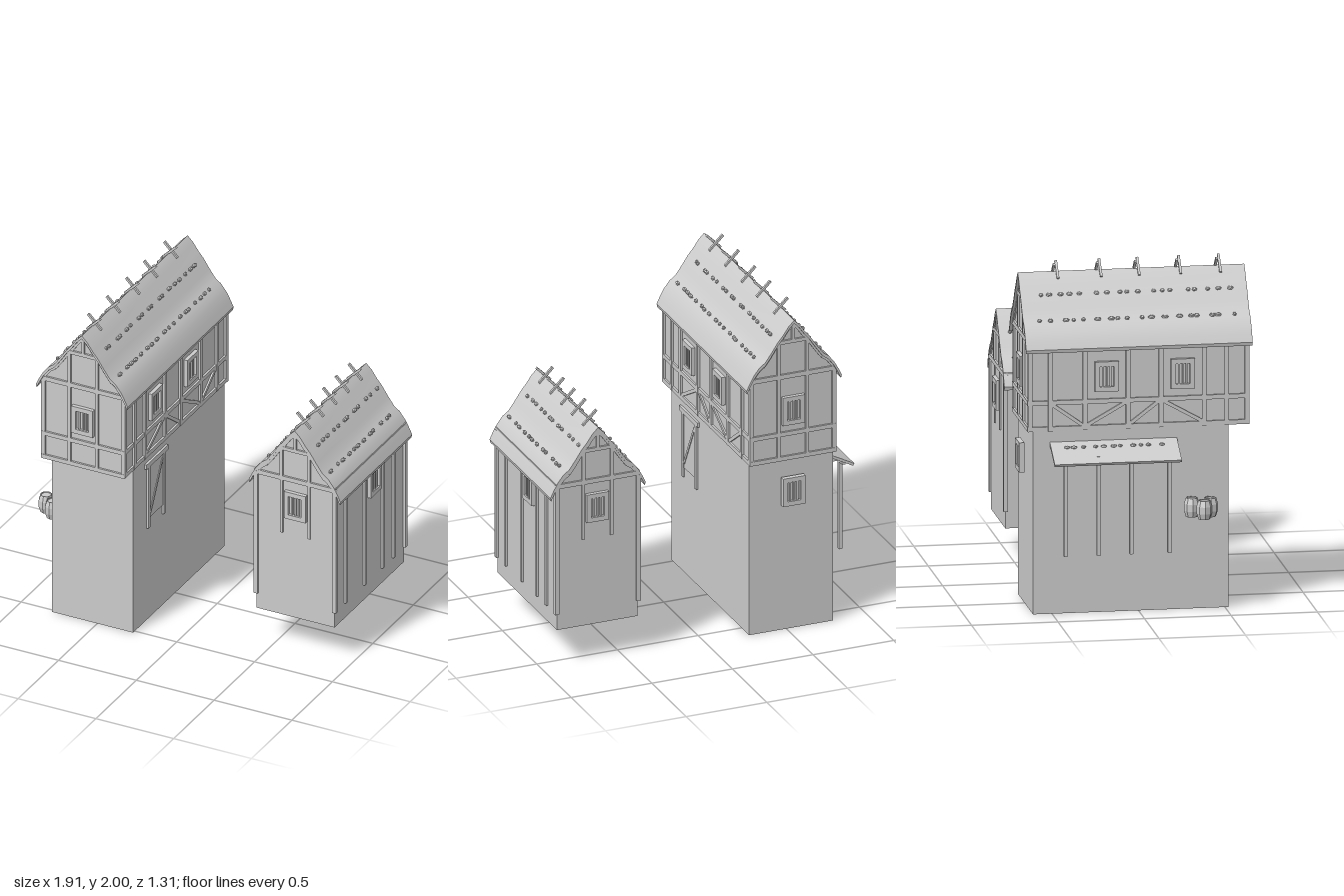
import * as THREE from 'three';
import { toCreasedNormals } from 'three/addons/utils/BufferGeometryUtils.js';

const mat = new THREE.MeshStandardMaterial({ color: 0xcccccc, side: THREE.DoubleSide });
const flat = new THREE.MeshStandardMaterial({ color: 0xcccccc, flatShading: true });

// Roof half profile: distance from the ridge, drop below the ridge
const PROFILE = [[0, 0], [0.035, 0.035], [0.07, 0.085], [0.1, 0.12], [0.14, 0.18],
  [0.18, 0.235], [0.215, 0.26], [0.25, 0.305], [0.275, 0.35], [0.295, 0.392]];

function dropAt(d) {
  const i = Math.max(1, PROFILE.findIndex(p => p[0] >= d));
  const [a, b] = [PROFILE[i - 1], PROFILE[i]];
  return a[1] + (b[1] - a[1]) * (d - a[0]) / (b[0] - a[0]);
}

let seed = 7;
const rnd = () => (seed = (seed * 16807) % 2147483647) / 2147483647;

function add(parent, name, geo, x = 0, y = 0, z = 0, m = mat) {
  const mesh = new THREE.Mesh(geo, m);
  mesh.name = name;
  mesh.position.set(x, y, z);
  parent.add(mesh);
  return mesh;
}

function box(parent, name, w, h, d, x, y, z) {
  return add(parent, name, new THREE.BoxGeometry(w, h, d), x, y, z);
}

function group(parent, name, x = 0, y = 0, z = 0) {
  const g = new THREE.Group();
  g.name = name;
  g.position.set(x, y, z);
  parent.add(g);
  return g;
}

// Straight timber between two points
function timber(parent, name, a, b, w, d = w) {
  const p = new THREE.Vector3(...a), q = new THREE.Vector3(...b);
  const mesh = box(parent, name, w, p.distanceTo(q), d, 0, 0, 0);
  mesh.position.copy(p).lerp(q, 0.5);
  mesh.quaternion.setFromUnitVectors(new THREE.Vector3(0, 1, 0), q.sub(p).normalize());
  return mesh;
}

// Framed window with bars, facing +z before turning
function barredWindow(parent, x, y, z, turn) {
  const g = group(parent, 'window', x, y, z);
  g.rotation.y = turn;
  for (const s of [-1, 1]) {
    box(g, 'windowJamb', 0.028, 0.175, 0.03, s * 0.055, 0, 0.008);
    box(g, 'windowRail', 0.082, 0.028, 0.03, 0, s * 0.0735, 0.008);
  }
  box(g, 'windowPane', 0.082, 0.12, 0.01, 0, 0, 0);
  for (const bx of [-0.022, 0.002, 0.022]) box(g, 'windowBar', 0.01, 0.12, 0.012, bx, 0, 0.01);
}

// Squashed stones scattered along a row
function stoneRow(parent, x, y, z0, z1, count, tilt) {
  for (let i = 0; i < count; i++) {
    const s = add(parent, 'roofStone', new THREE.IcosahedronGeometry(0.015, 0), x + (rnd() - 0.5) * 0.006,
      y, z0 + (z1 - z0) * (i + 0.15 + rnd() * 0.7) / count, flat);
    s.scale.set(0.8, 0.6 + rnd() * 0.2, 0.8 + rnd() * 0.8);
    s.rotation.z = tilt;
  }
}

// Wavy roof with stones and crossed ridge sticks
function roof(parent, peak, half, sticks) {
  const g = group(parent, 'roof');
  const left = PROFILE.slice(1).reverse().map(([d, h]) => [-d, peak - h]);
  const top = [...left, ...PROFILE.map(([d, h]) => [d, peak - h])];
  const under = top.map(([x, y]) => [x * 0.985, y - 0.02]).reverse();
  const shape = new THREE.Shape([...top, ...under].map(p => new THREE.Vector2(...p)));
  const geo = new THREE.ExtrudeGeometry(shape, { depth: half * 2, bevelEnabled: false });
  add(g, 'roofCover', toCreasedNormals(geo, 0.35), 0, 0, -half);
  for (const s of [-1, 1]) {
    for (const d of [0.1, 0.2]) {
      stoneRow(g, s * d, peak - dropAt(d) + 0.006, -half * 0.9, half * 0.9, Math.round(half * 28), -s * 0.85);
    }
    for (const z of sticks) {
      timber(g, 'ridgeStick', [s * 0.045, peak + 0.05, z + s * 0.012],
        [-s * 0.04, peak - 0.035, z + s * 0.012], 0.014);
    }
  }
}

// Gable wall outline from a bottom height up to the underside of the roof
function gableShape(half, bottom, peak) {
  const pts = [[half, bottom], [half, peak - dropAt(half) - 0.012]];
  const inner = PROFILE.filter(p => p[0] < half - 0.005);
  inner.slice().reverse().forEach(([d, h]) => pts.push([d, peak - h - 0.012]));
  inner.slice(1).forEach(([d, h]) => pts.push([-d, peak - h - 0.012]));
  pts.push([-half, peak - dropAt(half) - 0.012], [-half, bottom]);
  return new THREE.Shape(pts.map(p => new THREE.Vector2(...p)));
}

// Timbers in a gable above the tie beam
function gableTimbers(g, peak, tie, half, z) {
  box(g, 'tieBeam', half * 2, 0.028, 0.024, 0, tie, z);
  box(g, 'collarBeam', 0.19, 0.022, 0.024, 0, peak - 0.135, z);
  box(g, 'kingPost', 0.018, 0.12, 0.024, 0, peak - 0.08, z);
  for (const s of [-1, 1]) {
    const topY = peak - dropAt(0.088) - 0.02;
    box(g, 'gableStud', 0.02, topY - tie, 0.024, s * 0.088, (topY + tie) / 2, z);
    for (let i = 1; i < 8; i++) {
      const [a, b] = [PROFILE[i - 1], PROFILE[i]];
      timber(g, 'bargeBoard', [s * a[0], peak - a[1] - 0.028, z], [s * b[0], peak - b[1] - 0.028, z], 0.02);
    }
  }
}

// Plank door with a frame and a diagonal brace, on a wall facing along x
function door(parent, x, z) {
  const g = group(parent, 'door', x, 0, z);
  box(g, 'doorLintel', 0.024, 0.03, 0.27, 0, 1.015, 0);
  for (const s of [-1, 1]) box(g, 'doorPost', 0.02, 0.4, 0.026, 0, 0.8, s * 0.095);
  box(g, 'doorLeaf', 0.008, 0.34, 0.165, 0, 0.83, 0);
  timber(g, 'doorBrace', [0, 0.69, 0.075], [0, 0.97, -0.075], 0.016);
}

function tallHouse(root) {
  const g = group(root, 'tallHouse', -0.53);
  const peak = 1.945;
  // Hollow stone base, open below
  for (const s of [-1, 1]) {
    add(g, 'baseSideWall', new THREE.PlaneGeometry(1.13, 1.07), s * 0.26, 0.535, -0.045).rotation.y = s * Math.PI / 2;
    add(g, 'baseEndWall', new THREE.PlaneGeometry(0.52, 1.07), 0, 0.535, -0.045 + s * 0.565).rotation.y = s > 0 ? 0 : Math.PI;
  }
  // Overhanging timbered storey
  add(g, 'upperWalls', new THREE.ExtrudeGeometry(gableShape(0.256, 1.07, peak), { depth: 1.26, bevelEnabled: false }), 0, 0, -0.63);
  for (const s of [-1, 1]) {
    const z = s * 0.63, x = s * 0.256;
    gableTimbers(g, peak, 1.595, 0.265, z);
    for (const y of [1.083, 1.235]) {
      box(g, 'gableRail', 0.53, 0.026, 0.024, 0, y, z);
      box(g, 'sideRail', 0.024, 0.026, 1.27, x, y, 0);
    }
    box(g, 'wallPlate', 0.024, 0.026, 1.27, x, 1.585, 0);
    for (const px of [-0.088, 0.088]) box(g, 'gablePost', 0.02, 0.52, 0.024, px, 1.335, z);
    for (const pz of [0.627, 0.51, 0.38, 0.13, -0.06, -0.31, -0.51, -0.627]) {
      box(g, 'sidePost', 0.026, 0.52, 0.026, x, 1.33, pz);
    }
    for (const [a, b] of [[0.37, 0.14], [-0.05, 0.12], [-0.3, -0.07], [-0.32, -0.5]]) {
      timber(g, 'sideBrace', [x, 1.095, a], [x, 1.225, b], 0.02);
    }
    barredWindow(g, 0, 1.38, s * 0.63, s > 0 ? 0 : Math.PI);
    for (const wz of [0.255, -0.185]) barredWindow(g, x, 1.38, wz, s * Math.PI / 2);
  }
  roof(g, peak, 0.655, [0.5, 0.27, 0.03, -0.19, -0.44]);
  barredWindow(g, 0, 0.875, -0.635, Math.PI);
  door(g, 0.262, 0.245);
}

function smallHouse(root) {
  const g = group(root, 'smallHouse', 0.655, 0, -0.14);
  const peak = 1.455, half = 0.25, depth = 0.43, eave = peak - dropAt(half) - 0.01;
  for (const s of [-1, 1]) {
    const z = s * depth, x = s * half;
    add(g, 'gableWall', new THREE.ShapeGeometry(gableShape(half, 0.225, peak)), 0, 0, z);
    // Side wall; the one towards the tall house has a notch under its door
    const wall = new THREE.Shape();
    wall.moveTo(-depth, 0.225);
    if (s < 0) {
      wall.lineTo(-0.15, 0.225).lineTo(-0.15, 0.62).lineTo(0.075, 0.62).lineTo(0.075, 0.225);
    }
    wall.lineTo(depth, 0.225).lineTo(depth, eave).lineTo(-depth, eave);
    add(g, 'sideWall', new THREE.ShapeGeometry(wall), x, 0, 0).rotation.y = -Math.PI / 2;
    gableTimbers(g, peak, 1.125, 0.26, z);
    for (const px of [-0.088, 0.088]) box(g, 'gablePost', 0.018, 0.36, 0.016, px, 0.945, z);
    for (const px of [-1, 1]) box(g, 'cornerPost', 0.026, 0.8, 0.024, px * 0.252, 0.725, z);
    for (const pz of [0.3, 0.065, -0.155, -0.29]) {
      const low = s < 0 && pz < 0.2 && pz > -0.2 ? 0.6 : 0.325;
      box(g, 'sidePost', 0.026, 1.12 - low, 0.022, x, (1.12 + low) / 2, pz);
    }
    box(g, 'wallPlate', 0.024, 0.026, depth * 2, x, 1.125, 0);
    barredWindow(g, 0.005, 0.96, z, s > 0 ? 0 : Math.PI);
    barredWindow(g, x, 0.96, s > 0 ? -0.045 : 0.18, s * Math.PI / 2);
  }
  roof(g, peak, 0.443, [0.335, 0.175, 0.015, -0.14, -0.3]);
  door(g, -0.257, -0.04);
}

// Lean-to canopy on posts
function canopy(root) {
  const g = group(root, 'canopy');
  const slab = box(g, 'canopyRoof', 0.2, 0.016, 0.735, -0.872, 0.952, -0.145);
  slab.rotation.z = 0.49;
  box(g, 'canopyBeam', 0.02, 0.02, 0.7, -0.905, 0.917, -0.145);
  for (const z of [-0.44, -0.25, -0.06, 0.16]) {
    box(g, 'canopyPost', 0.022, 0.56, 0.022, -0.905, 0.64, z);
    box(g, 'canopyTie', 0.13, 0.022, 0.022, -0.85, 0.928, z);
  }
  stoneRow(g, -0.842, 0.982, -0.46, 0.15, 11, 0.49);
}

// Eight-sided barrels beside the tall house
function barrels(root) {
  const g = group(root, 'barrels', 0, 0.55, 0);
  const pts = [[0, 0], [0.034, 0], [0.045, 0.035], [0.045, 0.075], [0.034, 0.11], [0.03, 0.11], [0.029, 0.104], [0, 0.104]]
    .map(p => new THREE.Vector2(...p));
  for (const [x, z] of [[-0.837, 0.3], [-0.912, 0.36], [-0.848, 0.405]]) {
    add(g, 'barrel', new THREE.LatheGeometry(pts, 8), x, 0, z, flat);
  }
}

export function createModel() {
  const root = new THREE.Group();
  root.name = 'timberHouses';
  tallHouse(root);
  smallHouse(root);
  canopy(root);
  barrels(root);
  return root;
}
